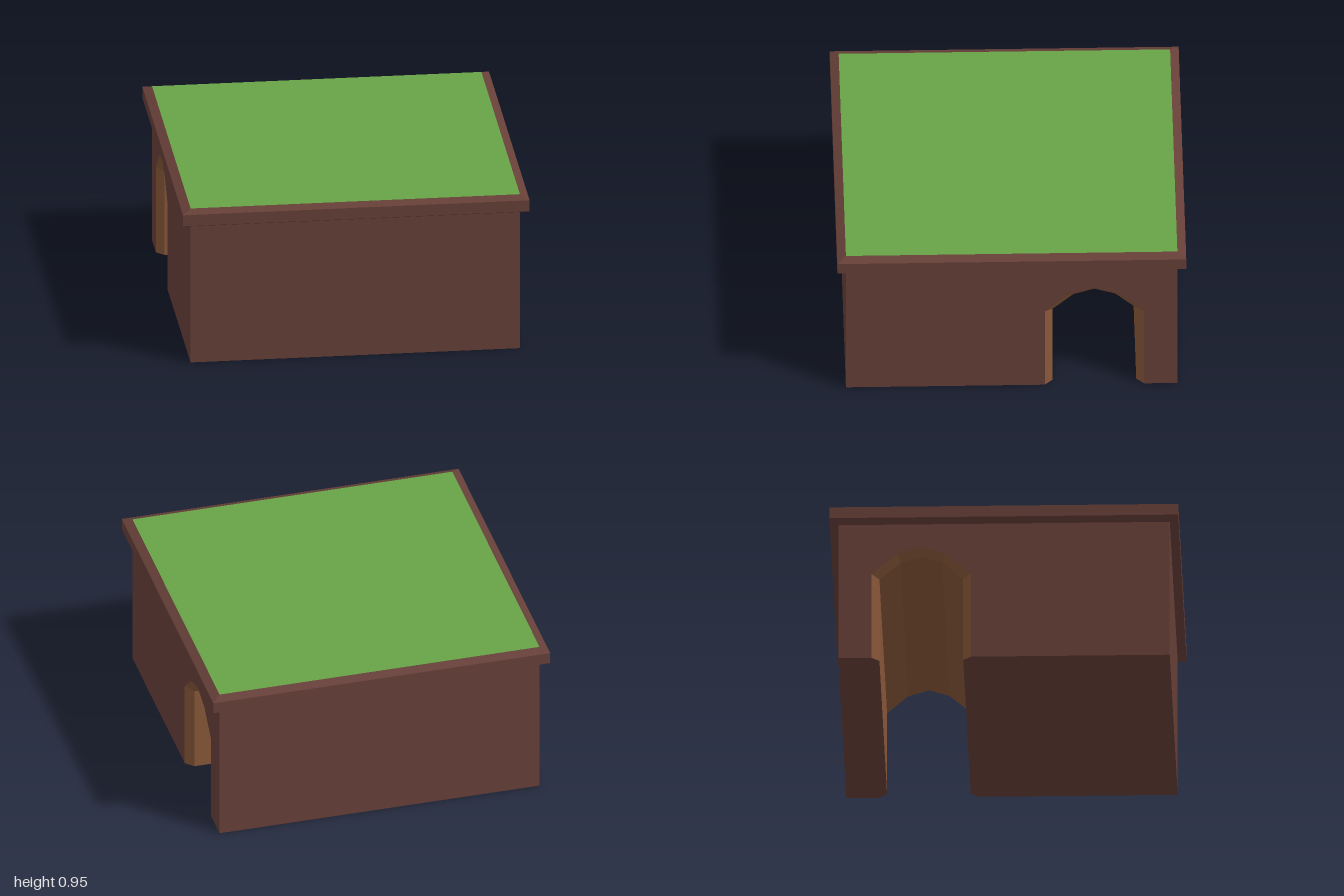
import * as THREE from 'three';

const wallMat = new THREE.MeshStandardMaterial({ color: 0x663f38 });
wallMat.name = 'dark earth';
const tunnelMat = new THREE.MeshStandardMaterial({ color: 0x885739 });
tunnelMat.name = 'tunnel brown';
const grassMat = new THREE.MeshStandardMaterial({ color: 0x67a346 });
grassMat.name = 'grass green';

const W = 0.95, WALL_TOP = 0.84, TOP = 0.95, BEVEL = 0.905;

// Arch profiles as [z, y], from the front foot over to the back foot
const outerArch = [[-0.19, 0], [-0.19, 0.53], [-0.335, 0.655], [-0.475, 0.698], [-0.615, 0.655], [-0.76, 0.53], [-0.76, 0]];
const innerArch = [[-0.235, 0], [-0.235, 0.513], [-0.355, 0.618], [-0.475, 0.655], [-0.595, 0.618], [-0.715, 0.513], [-0.715, 0]];

// Flat-faced skin between successive rings of [x, y, z] points
function loft(rings, closed) {
  const pos = [];
  for (let r = 0; r < rings.length - 1; r++) {
    const n = rings[r].length;
    for (let i = 0; i < (closed ? n : n - 1); i++) {
      const j = (i + 1) % n;
      const a = rings[r][i], b = rings[r][j], c = rings[r + 1][j], d = rings[r + 1][i];
      pos.push(...a, ...b, ...c, ...a, ...c, ...d);
    }
  }
  const geo = new THREE.BufferGeometry();
  geo.setAttribute('position', new THREE.Float32BufferAttribute(pos, 3));
  geo.computeVertexNormals();
  return geo;
}

const flat = (pts) => new THREE.ShapeGeometry(new THREE.Shape(pts.map(([x, y]) => new THREE.Vector2(x, y))));

export function createModel() {
  const group = new THREE.Group();
  const add = (name, geo, mat) => {
    const mesh = new THREE.Mesh(geo, mat);
    mesh.name = name;
    group.add(mesh);
  };

  // Solid front and back walls
  const wall = () => new THREE.PlaneGeometry(2 * W, WALL_TOP).translate(0, WALL_TOP / 2, W);
  add('frontWall', wall(), wallMat);
  add('backWall', wall().rotateY(Math.PI), wallMat);

  // Side walls with the arched opening cut out
  for (const s of [1, -1]) {
    const pts = [[W, 0], ...outerArch, [-W, 0], [-W, WALL_TOP], [W, WALL_TOP]].map(([z, y]) => [-s * z, y]);
    add(s > 0 ? 'leftWall' : 'rightWall', flat(pts).rotateY(s * Math.PI / 2).translate(s * W, 0, 0), wallMat);
  }

  // Undersides either side of the passage, with bevelled corners
  const base = (edge, outer, inner) =>
    flat([[-W, edge], [W, edge], [W, outer], [BEVEL, inner], [-BEVEL, inner], [-W, outer]]).rotateX(Math.PI / 2);
  add('frontBase', base(W, -0.19, -0.235), wallMat);
  add('backBase', base(-W, -0.76, -0.715), wallMat);

  // Tunnel lining with a bevelled mouth at each end
  const ring = (arch, x) => arch.map(([z, y]) => [x, y, z]);
  add('tunnelMouthRight', loft([ring(outerArch, -W), ring(innerArch, -BEVEL)]), tunnelMat);
  add('tunnelLining', loft([ring(innerArch, -BEVEL), ring(innerArch, BEVEL)]), tunnelMat);
  add('tunnelMouthLeft', loft([ring(innerArch, BEVEL), ring(outerArch, W)]), tunnelMat);

  // Overhanging rim, bevelled below and above
  const square = (h, y) => [[-h, y, h], [h, y, h], [h, y, -h], [-h, y, -h]];
  add('rim', loft([square(W, WALL_TOP), square(1, 0.862), square(1, 0.93), square(W, TOP)], true), wallMat);

  // Grass on top
  add('grassTop', new THREE.PlaneGeometry(2 * W, 2 * W).rotateX(-Math.PI / 2).translate(0, TOP, 0), grassMat);

  return group;
}
